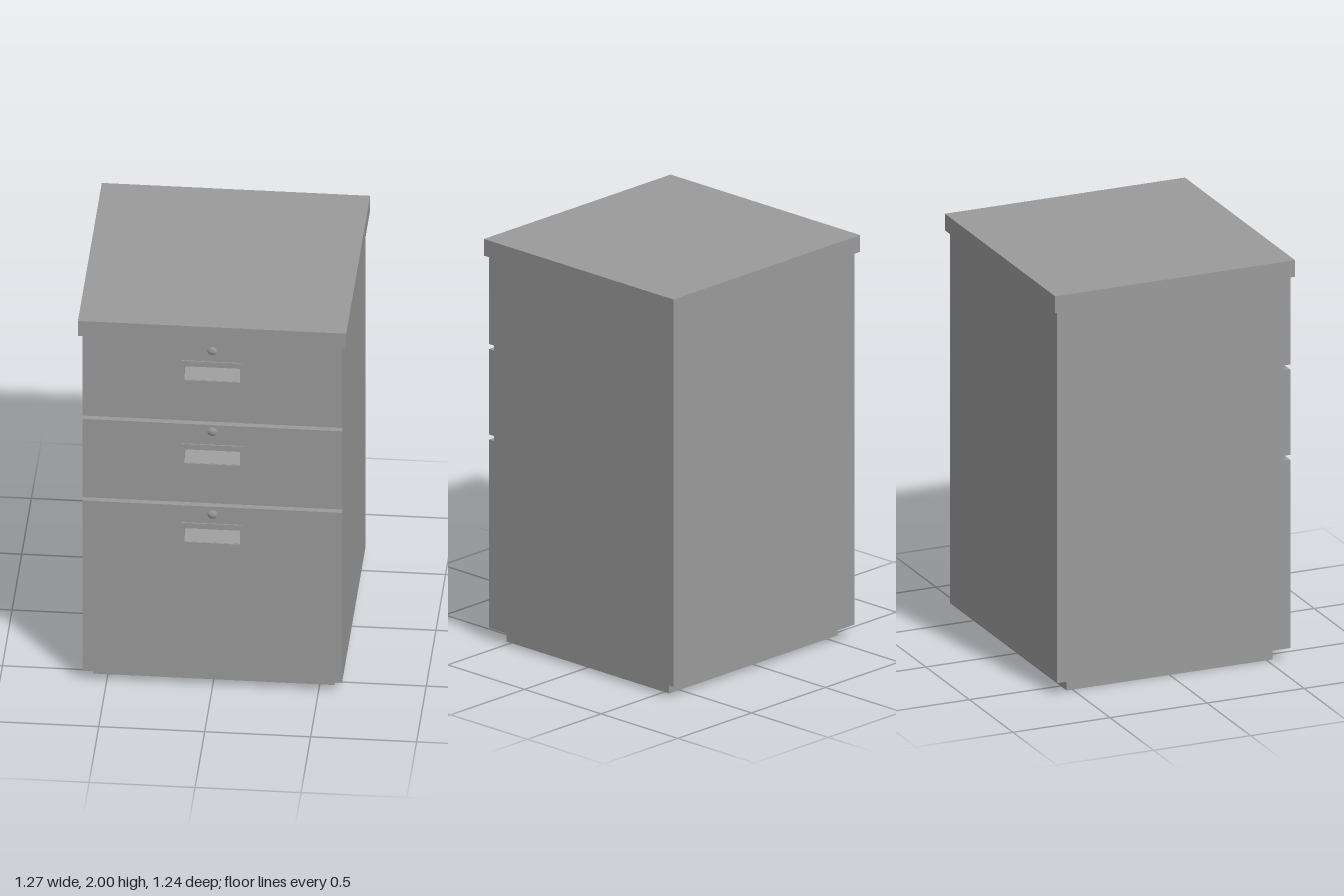
import * as THREE from 'three';

const COLOR = 0x9a9a9a;
const material = new THREE.MeshStandardMaterial({ color: COLOR, flatShading: true });
const smooth = new THREE.MeshStandardMaterial({ color: COLOR });
const thin = new THREE.MeshStandardMaterial({ color: COLOR, flatShading: true, side: THREE.DoubleSide });

// Main dimensions
const W = 0.612, BACK = -0.6, FRONT = 0.603, PANEL_Z = 0.573;
const WALL = 0.006, PLINTH_X = 0.57, PLINTH_Z = 0.53;
const BASE_Y = 0.06, TOP_Y = 1.917;

function add(parent, name, geometry, mat = material) {
  const mesh = new THREE.Mesh(geometry, mat);
  mesh.name = name;
  parent.add(mesh);
  return mesh;
}

function polygon(points) {
  return new THREE.Shape(points.map(([x, y]) => new THREE.Vector2(x, y)));
}

function rect(hw, y0, y1) {
  return polygon([[-hw, y0], [hw, y0], [hw, y1], [-hw, y1]]);
}

function extrude(shape, depth) {
  return new THREE.ExtrudeGeometry(shape, { depth, bevelEnabled: false });
}

// Deep rim around a sloped finger recess, centred on the handle
function createHandle() {
  const handle = new THREE.Group();
  handle.name = 'handle';

  const rim = rect(0.142, -0.057, 0.057);
  rim.holes.push(rect(0.132, -0.049, 0.049));
  add(handle, 'handleRim', extrude(rim, 0.066)).position.z = -0.06;

  const cup = polygon([
    [0, -0.05], [0, -0.048], [-0.05, -0.007], [-0.05, 0.036],
    [0, 0.047], [0, 0.05], [-0.06, 0.05], [-0.06, -0.05],
  ]);
  const cupGeometry = extrude(cup, 0.266).translate(0, 0, -0.133).rotateY(-Math.PI / 2);
  add(handle, 'fingerRecess', cupGeometry);
  return handle;
}

export function createModel() {
  const cabinet = new THREE.Group();
  cabinet.name = 'drawerCabinet';

  // Top slab
  add(cabinet, 'top', new THREE.BoxGeometry(1.266, 2 - TOP_Y, 1.236))
    .position.y = (2 + TOP_Y) / 2;

  // Hollow U-shaped carcass: two sides and a back
  const inX = W - WALL, inBack = BACK + WALL;
  const plan = polygon([
    [-W, -PANEL_Z], [-inX, -PANEL_Z], [-inX, -inBack], [inX, -inBack],
    [inX, -PANEL_Z], [W, -PANEL_Z], [W, -BACK], [-W, -BACK],
  ]);
  add(cabinet, 'carcass', extrude(plan, TOP_Y - BASE_Y).rotateX(-Math.PI / 2))
    .position.y = BASE_Y;

  // Underside ledge between the walls and the plinth
  const ledge = rect(inX, -PANEL_Z, -inBack);
  ledge.holes.push(rect(PLINTH_X, -PLINTH_Z, PLINTH_Z));
  add(cabinet, 'ledge', extrude(ledge, 0.004).rotateX(-Math.PI / 2)).position.y = BASE_Y;

  // Thin plinth, open underneath
  const plinth = new THREE.CylinderGeometry(Math.SQRT1_2, Math.SQRT1_2, BASE_Y, 4, 1, true)
    .rotateY(Math.PI / 4).scale(2 * PLINTH_X, 1, 2 * PLINTH_Z);
  add(cabinet, 'plinth', plinth, thin).position.y = BASE_Y / 2;

  // Drawer fronts with handle and shallow domed lock
  const drawers = [
    { bottom: 1.475, top: TOP_Y, handleY: 1.744, lockY: 1.859 },
    { bottom: 1.024, top: 1.45, handleY: 1.285, lockY: 1.413 },
    { bottom: BASE_Y, top: 0.999, handleY: 0.849, lockY: 0.956 },
  ];
  const domeRadius = 0.037, domeHeight = 0.008;
  const dome = new THREE.SphereGeometry(domeRadius, 24, 6, 0, Math.PI * 2, 0, 0.671)
    .rotateX(Math.PI / 2).translate(0, 0, domeHeight - domeRadius);

  for (const { bottom, top, handleY, lockY } of drawers) {
    const drawer = new THREE.Group();
    drawer.name = 'drawer';
    cabinet.add(drawer);

    const panel = rect(W, bottom, top);
    panel.holes.push(rect(0.137, handleY - 0.053, handleY + 0.053));
    add(drawer, 'drawerFront', extrude(panel, FRONT - PANEL_Z)).position.z = PANEL_Z;

    const handle = createHandle();
    handle.position.set(0, handleY, FRONT);
    drawer.add(handle);

    add(drawer, 'lock', dome, smooth).position.set(0, lockY, FRONT);
  }

  // Recessed strips behind the gaps between drawers
  for (const y of [1.4625, 1.0115]) {
    add(cabinet, 'gapStrip', new THREE.BoxGeometry(2 * inX, 0.035, 0.01))
      .position.set(0, y, PANEL_Z - 0.005);
  }

  return cabinet;
}
